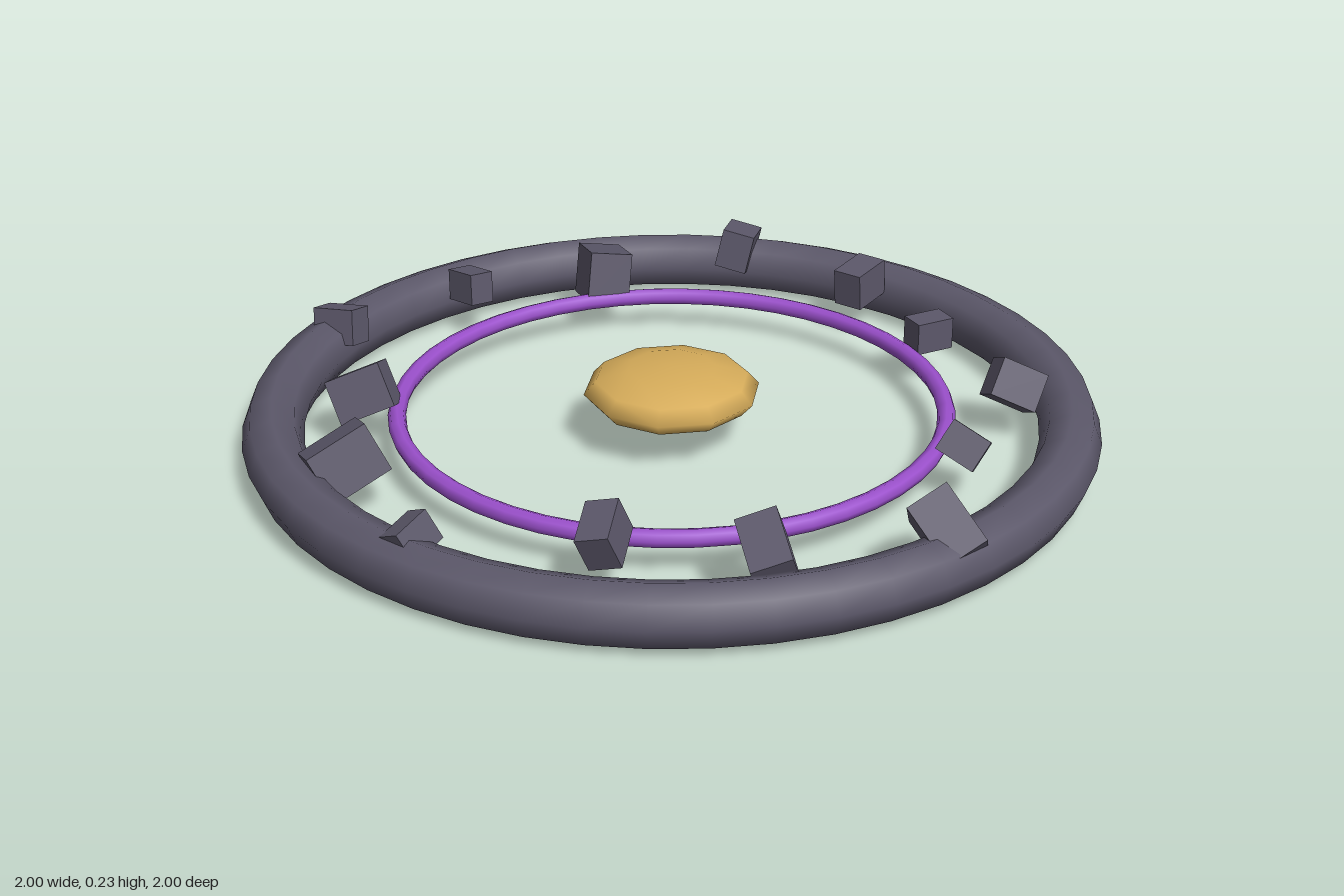
import * as THREE from 'three';

const mat = (name, color) => {
  const m = new THREE.MeshStandardMaterial({ color });
  m.name = name;
  return m;
};

export function createModel() {
  const stone = mat('dark stone', 0x5c586a);
  const purple = mat('purple', 0x9b50cc);
  const gold = mat('gold', 0xd6ac5a);
  const group = new THREE.Group();

  const add = (name, geometry, material, y) => {
    const mesh = new THREE.Mesh(geometry, material);
    mesh.name = name;
    mesh.position.y = y;
    group.add(mesh);
    return mesh;
  };

  // Flat rings
  const ring = (name, radius, tube, sides, material, y) =>
    add(name, new THREE.TorusGeometry(radius, tube, sides, 48).rotateX(-Math.PI / 2), material, y);
  ring('outerRing', 0.9285, 0.0715, 8, stone, 0.0715);
  ring('innerRing', 0.643, 0.0214, 8, purple, 0.086);

  // Flattened centre with ten sides, a corner facing front
  const core = new THREE.SphereGeometry(0.208, 10, 6).rotateY(Math.PI / 2).scale(1, 0.3, 1);
  add('core', core, gold, 0.128);

  // Tumbled blocks evenly spaced around: [distance, size, roll, pitch in degrees]
  const blocks = [
    [0.711, 0.066, 0, 0], [0.805, 0.078, -28, -25], [0.715, 0.065, -30, -25],
    [0.895, 0.1, 35, -35], [0.805, 0.092, 20, -25], [0.715, 0.076, 15, -20],
    [0.895, 0.062, 25, -15], [0.81, 0.1, 18, -23], [0.72, 0.09, 20, -22],
    [0.9, 0.074, 12, -6], [0.805, 0.066, 5, -8], [0.72, 0.107, 8, -12],
    [0.9, 0.084, 12, -8], [0.805, 0.078, 0, 5],
  ];
  const unitBlock = new THREE.BoxGeometry(1.5, 1.2, 1);
  blocks.forEach(([distance, size, roll, pitch], i) => {
    const a = (i / blocks.length) * Math.PI * 2;
    const block = add('stoneBlock' + (i + 1), unitBlock, stone, 0.128);
    block.position.x = Math.cos(a) * distance;
    block.position.z = Math.sin(a) * distance;
    block.scale.setScalar(size);
    block.rotation.set(THREE.MathUtils.degToRad(roll), -a, THREE.MathUtils.degToRad(pitch), 'YZX');
  });

  return group;
}
